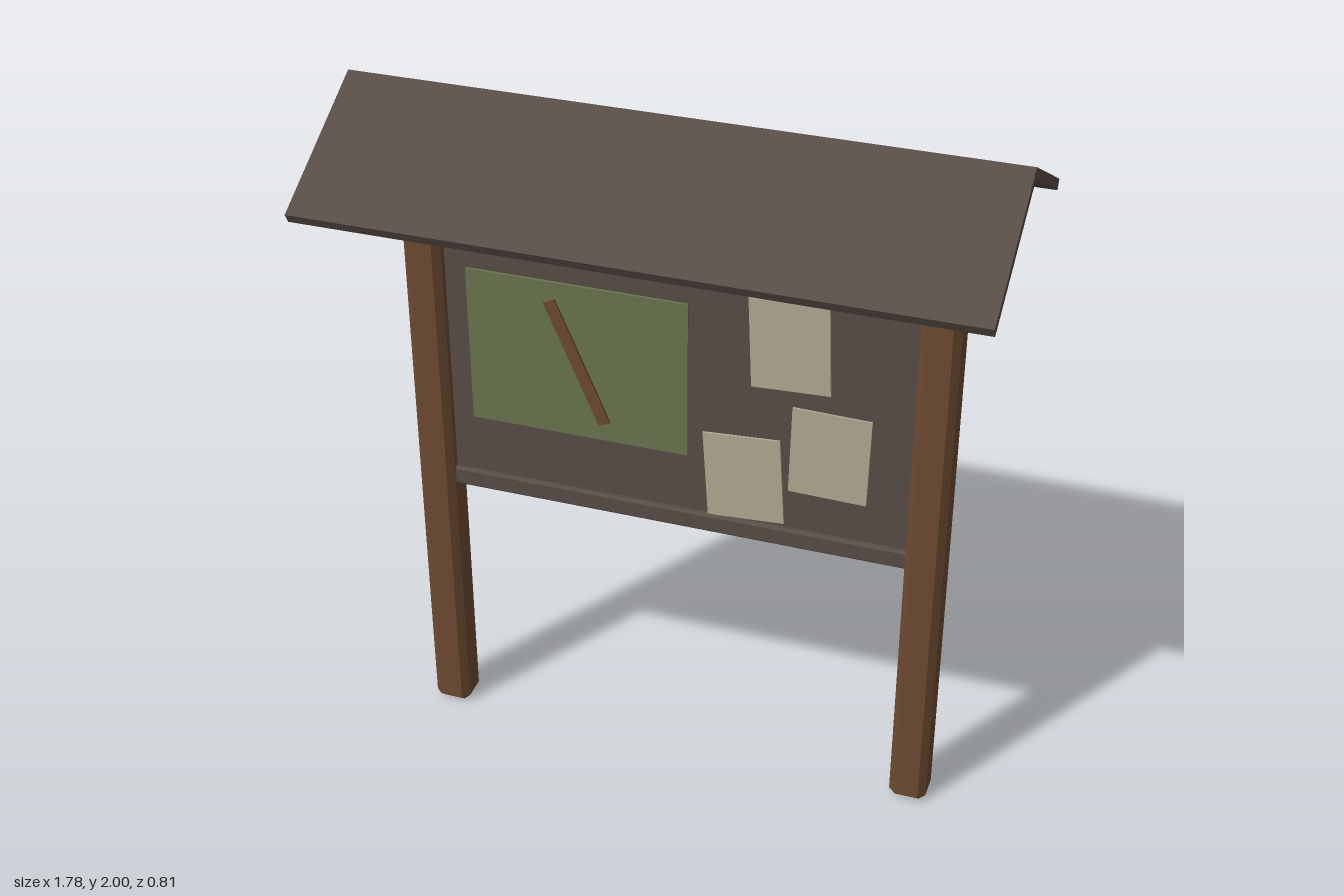
import * as THREE from 'three';
import { ConvexGeometry } from 'three/addons/geometries/ConvexGeometry.js';

const material = (name, color) => {
  const m = new THREE.MeshStandardMaterial({ color });
  m.name = name;
  return m;
};

// Box with every edge and corner cut by c
function chamferBox(w, h, d, c) {
  const points = [];
  for (const sx of [-1, 1]) for (const sy of [-1, 1]) for (const sz of [-1, 1]) {
    const x = w / 2, y = h / 2, z = d / 2;
    points.push(
      new THREE.Vector3(sx * x, sy * (y - c), sz * (z - c)),
      new THREE.Vector3(sx * (x - c), sy * y, sz * (z - c)),
      new THREE.Vector3(sx * (x - c), sy * (y - c), sz * z));
  }
  return new ConvexGeometry(points);
}

export function createModel() {
  const group = new THREE.Group();
  group.name = 'noticeBoard';
  const postWood = material('post brown', 0x6d4a31);
  const darkWood = material('dark wood', 0x594d46);
  const mapGreen = material('map green', 0x6a744f);
  const paper = material('paper', 0xb3a892);

  const add = (name, geometry, mat, x, y, z, turn = 0) => {
    const mesh = new THREE.Mesh(geometry, mat);
    mesh.name = name;
    mesh.position.set(x, y, z);
    mesh.rotation.z = turn;
    group.add(mesh);
    return mesh;
  };

  // Posts
  for (const [name, side] of [['leftPost', 1], ['rightPost', -1]]) {
    add(name, chamferBox(0.106, 1.8, 0.106, 0.019), postWood, side * 0.702, 0.9, 0);
  }

  // Backing panel and the two rails standing proud of it
  add('panel', new THREE.BoxGeometry(1.3, 0.84, 0.045), darkWood, 0, 1.213, -0.0075);
  add('topRail', chamferBox(1.32, 0.056, 0.06, 0.006), darkWood, 0, 1.612, 0);
  add('bottomRail', chamferBox(1.32, 0.056, 0.06, 0.006), darkWood, 0, 0.815, 0);

  // Map with its trail
  add('map', new THREE.BoxGeometry(0.622, 0.465, 0.008), mapGreen, -0.276, 1.253, 0.019);
  add('trail', new THREE.BoxGeometry(0.035, 0.385, 0.006), postWood, -0.275, 1.253, 0.026, 0.4);

  // Pinned notices: x, y, tilt
  [[0.31, 1.408, 0.045], [0.427, 1.095, -0.02], [0.192, 0.979, 0.065]].forEach(([x, y, turn], i) => {
    add('notice' + (i + 1), new THREE.BoxGeometry(0.215, 0.262, 0.006), paper, x, y, 0.018, turn);
  });

  // Gable roof: a chevron drawn in z and y, extruded along x
  const chevron = new THREE.Shape([
    [0, 2], [-0.404, 1.78], [-0.39, 1.754], [0, 1.966], [0.39, 1.754], [0.404, 1.78],
  ].map(([z, y]) => new THREE.Vector2(z, y)));
  const roof = new THREE.ExtrudeGeometry(chevron, { depth: 1.784, bevelEnabled: false });
  roof.translate(0, 0, -0.892);
  roof.rotateY(Math.PI / 2);
  add('roof', roof, darkWood, 0, 0, 0);

  return group;
}
